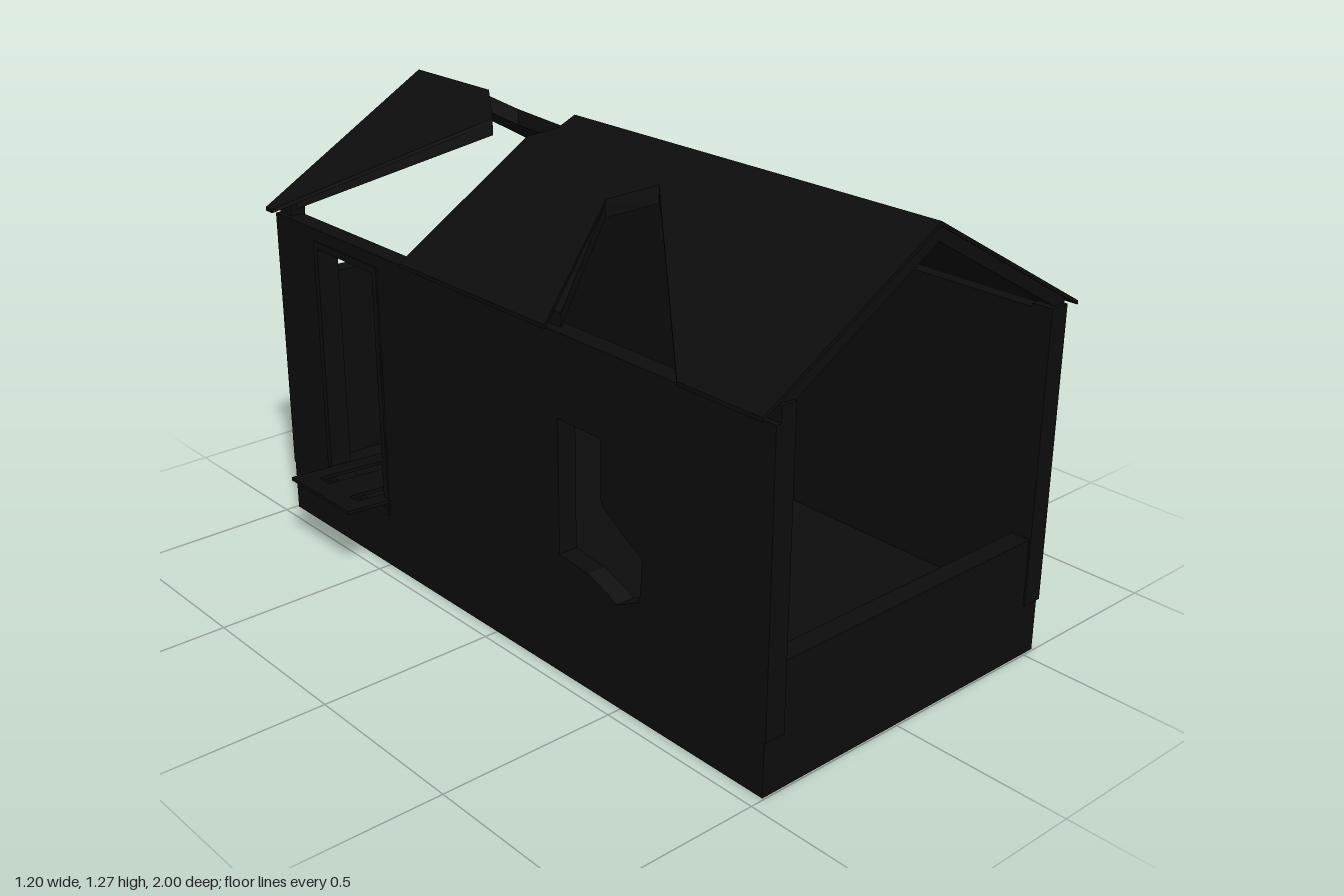
import * as THREE from 'three';

const DARK = new THREE.MeshStandardMaterial({ color: 0x0c0c0c, side: THREE.DoubleSide });
const RIDGE_X = 0.05, RIDGE_Y = 1.275, SLOPE = 0.577;

function add(parent, name, geo) {
  const mesh = new THREE.Mesh(geo, DARK);
  mesh.name = name;
  parent.add(mesh);
  return mesh;
}

// box given by its limits on each axis
function box(parent, name, x0, x1, y0, y1, z0, z1) {
  const m = add(parent, name, new THREE.BoxGeometry(x1 - x0, y1 - y0, z1 - z0));
  m.position.set((x0 + x1) / 2, (y0 + y1) / 2, (z0 + z1) / 2);
  return m;
}

const vecs = pts => pts.map(p => new THREE.Vector2(p[0], p[1]));
const rect = (a0, a1, b0, b1) => [[a0, b0], [a1, b0], [a1, b1], [a0, b1]];

function extrude(outline, holes, depth) {
  const shape = new THREE.Shape(vecs(outline));
  holes.forEach(h => shape.holes.push(new THREE.Path(vecs(h))));
  return new THREE.ExtrudeGeometry(shape, { depth, bevelEnabled: false });
}

// upright slab drawn in (z, y) and spanning x0..x1
function sideSlab(parent, name, x0, x1, outline, holes) {
  const geo = extrude(outline, holes, x1 - x0);
  geo.rotateY(-Math.PI / 2).translate(x1, 0, 0);
  return add(parent, name, geo);
}

// roof piece drawn in plan (x, z), then sheared onto the slope
function roofPiece(parent, name, plan, drop, thickness) {
  const geo = extrude(plan.map(([x, z]) => [x, -z]), [], thickness);
  geo.rotateX(-Math.PI / 2);
  const p = geo.attributes.position;
  for (let i = 0; i < p.count; i++) {
    p.setY(i, p.getY(i) + RIDGE_Y - drop - thickness - SLOPE * Math.abs(p.getX(i) - RIDGE_X));
  }
  geo.computeVertexNormals();
  add(parent, name, geo);
}

export function createModel() {
  const house = new THREE.Group();
  house.name = 'ruinedHouse';

  // raised floor on a thin open-bottomed skirt
  box(house, 'floor', -0.455, 0.535, 0.14, 0.15, -0.99, 0.99);
  box(house, 'skirtRight', -0.46, -0.454, 0, 0.15, -0.995, 0.995);
  box(house, 'skirtLeft', 0.534, 0.54, 0, 0.15, -0.995, 0.995);
  box(house, 'skirtFront', -0.46, 0.54, 0, 0.15, 0.989, 0.995);
  box(house, 'skirtBack', -0.46, 0.54, 0, 0.15, -0.995, -0.989);

  // long wall with a framed window
  sideSlab(house, 'leftWall', 0.485, 0.54, rect(-0.995, 0.995, 0.15, 0.955),
    [rect(-0.29, -0.09, 0.36, 0.72)]);
  sideSlab(house, 'leftWindowFrame', 0.48, 0.545, rect(-0.31, -0.07, 0.34, 0.74),
    [rect(-0.29, -0.09, 0.36, 0.72)]);

  // long wall with a doorway and a broken window
  const brokenWindow = [[0.27, 0.34], [0.38, 0.33], [0.49, 0.29], [0.57, 0.33], [0.58, 0.45],
    [0.52, 0.48], [0.43, 0.54], [0.43, 0.71], [0.27, 0.71]];
  sideSlab(house, 'rightWall', -0.46, -0.405, rect(-0.995, 0.995, 0.15, 0.935),
    [rect(-0.78, -0.51, 0.18, 0.88), brokenWindow]);
  sideSlab(house, 'doorFrame', -0.465, -0.4, rect(-0.8, -0.49, 0.16, 0.9),
    [rect(-0.78, -0.51, 0.18, 0.88)]);

  // low wall under the open front gable
  box(house, 'frontLowWall', -0.46, 0.54, 0.15, 0.34, 0.94, 0.995);

  // back wall with a collapsed upper edge
  const backOutline = [[-0.46, 0.15], [0.54, 0.15], [0.54, 0.77], [0.485, 0.77], [0.475, 0.74],
    [0.47, 0.65], [0.44, 0.5], [0.385, 0.44], [0.325, 0.495], [0.26, 0.48], [0.19, 0.505],
    [0.11, 0.495], [0.035, 0.45], [-0.06, 0.48], [-0.1, 0.555], [-0.12, 0.64], [-0.12, 0.705],
    [-0.14, 0.735], [-0.46, 0.745]];
  add(house, 'brokenBackWall', extrude(backOutline, [], 0.055)).position.z = -0.995;

  // corner posts
  for (const z of [-1, 0.94]) {
    box(house, 'cornerPost', -0.46, -0.4, 0.15, 0.935, z, z + 0.06);
    box(house, 'cornerPostTop', -0.445, -0.4, 0.935, 0.975, z, z + 0.06);
    box(house, 'cornerPost', 0.485, 0.545, 0.15, 0.965, z, z + 0.06);
  }

  // roof: a thin overhanging sheet above a thicker layer, both broken through
  const roof = new THREE.Group();
  roof.name = 'roof';
  house.add(roof);
  const layers = [
    ['roofSheet', -0.495, 0.598, 0, 0.011, 0.993],
    ['roofUnderlayer', -0.445, 0.545, 0.011, 0.037, 0.99],
  ];
  for (const [name, right, left, drop, thick, end] of layers) {
    const pieces = [
      [[0.05, end], [right, end], [right, 0.73], [-0.07, 0.2], [-0.15, 0.09], [right, 0.27],
        [right, -0.33], [-0.05, -0.35], [0, -0.28], [0.05, -0.27]],
      [[0.05, -end], [right, -end], [right, -0.96], [-0.03, -0.53], [0.05, -0.65]],
      [[0.05, end], [left, end], [left, -0.09], [0.54, -0.09], [0.05, -0.27]],
      [[0.05, -end], [left, -end], [left, -0.17], [0.54, -0.17], [0.23, -0.75],
        [0.13, -0.79], [0.05, -0.65]],
    ];
    pieces.forEach(plan => roofPiece(roof, name, plan, drop, thick));
  }

  // fallen door lying through the doorway, with open panels
  const panels = [];
  for (const [x0, x1] of [[-0.54, -0.33], [-0.24, 0.03]]) {
    panels.push(rect(x0, x1, 0.68, 0.73), rect(x0, x1, 0.53, 0.57));
  }
  const doorGeo = extrude(rect(-0.6, 0.09, 0.485, 0.78), panels, 0.01);
  doorGeo.rotateX(-Math.PI / 2).translate(0.6, 0, 0).rotateZ(-0.057);
  add(house, 'fallenDoor', doorGeo).position.set(-0.6, 0.21, 0);

  return house;
}
